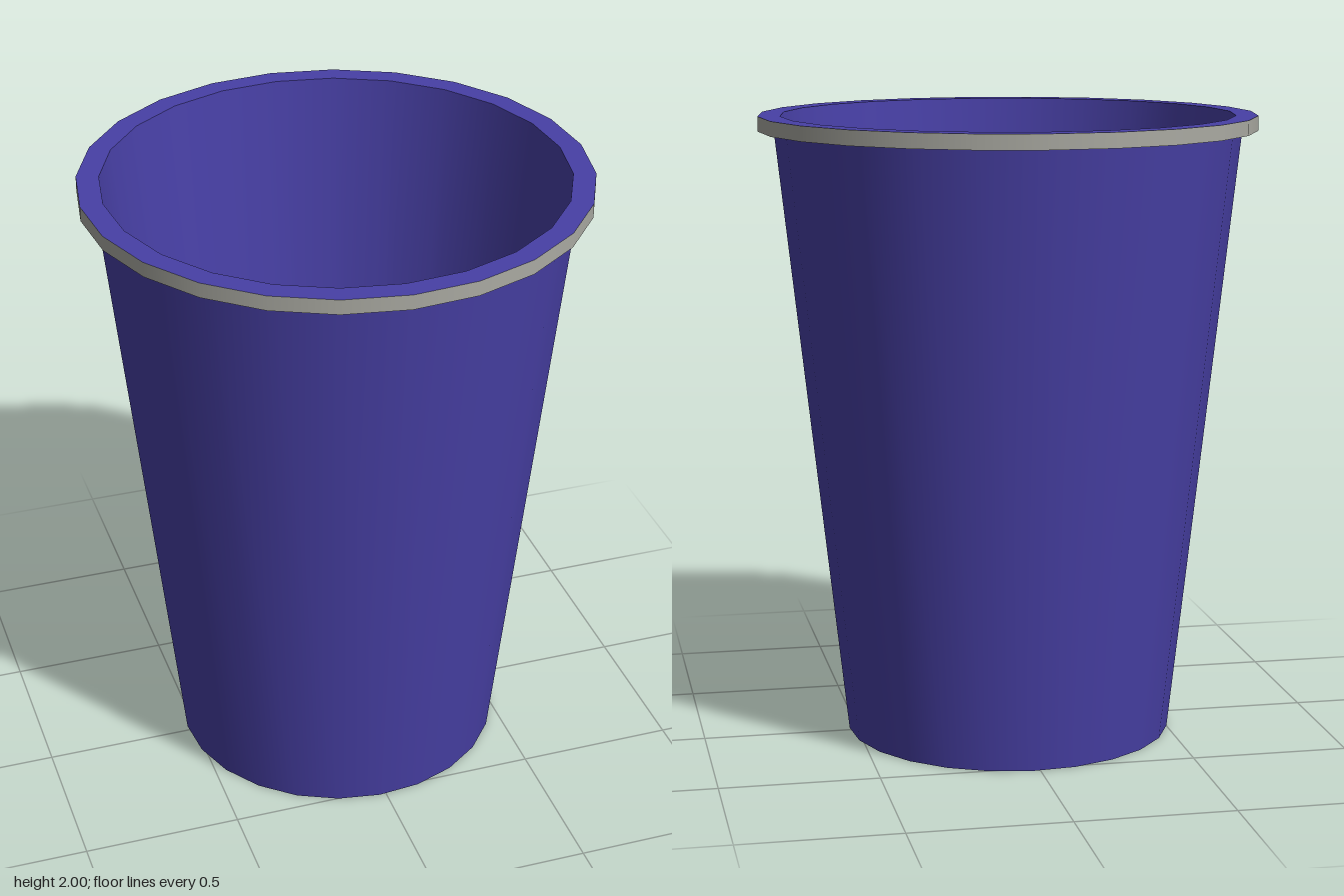
import * as THREE from 'three';

const SIDES = 24;
const TURN = -0.04; // slight twist of the facets about the vertical axis

const blue = new THREE.MeshStandardMaterial({ color: 0x4840a6 });
const grey = new THREE.MeshStandardMaterial({ color: 0xaaaaa2 });

// One band of the cup, from [radius, y] to [radius, y]; separate bands keep the edges sharp.
// Profile runs counter-clockwise: out along the base, up the outside, in, down the inside.
function band(name, from, to, material) {
  const points = [from, to].map(([r, y]) => new THREE.Vector2(r, y));
  const mesh = new THREE.Mesh(new THREE.LatheGeometry(points, SIDES, TURN), material);
  mesh.name = name;
  return mesh;
}

export function createModel() {
  const cup = new THREE.Group();
  cup.name = 'cup';

  // Key corners of the profile
  const baseInner = [0.5, 0.008];
  const baseOuter = [0.525, 0];
  const wallTop = [0.74, 1.953];
  const lipBottom = [0.79, 1.953];
  const lipTop = [0.79, 2];
  const mouth = [0.72, 2];
  const floorEdge = [0.5, 0.016];

  cup.add(
    // Underside and foot
    band('underside', [0, baseInner[1]], baseInner, blue),
    band('footRing', baseInner, baseOuter, blue),
    // Tapered body
    band('outerWall', baseOuter, wallTop, blue),
    // Rolled lip: grey outside and below, blue on top
    band('lipUnderside', wallTop, lipBottom, grey),
    band('lipEdge', lipBottom, lipTop, grey),
    band('lipTop', lipTop, mouth, blue),
    // Hollow interior
    band('innerWall', mouth, floorEdge, blue),
    band('innerFloor', floorEdge, [0, floorEdge[1]], blue)
  );
  return cup;
}
